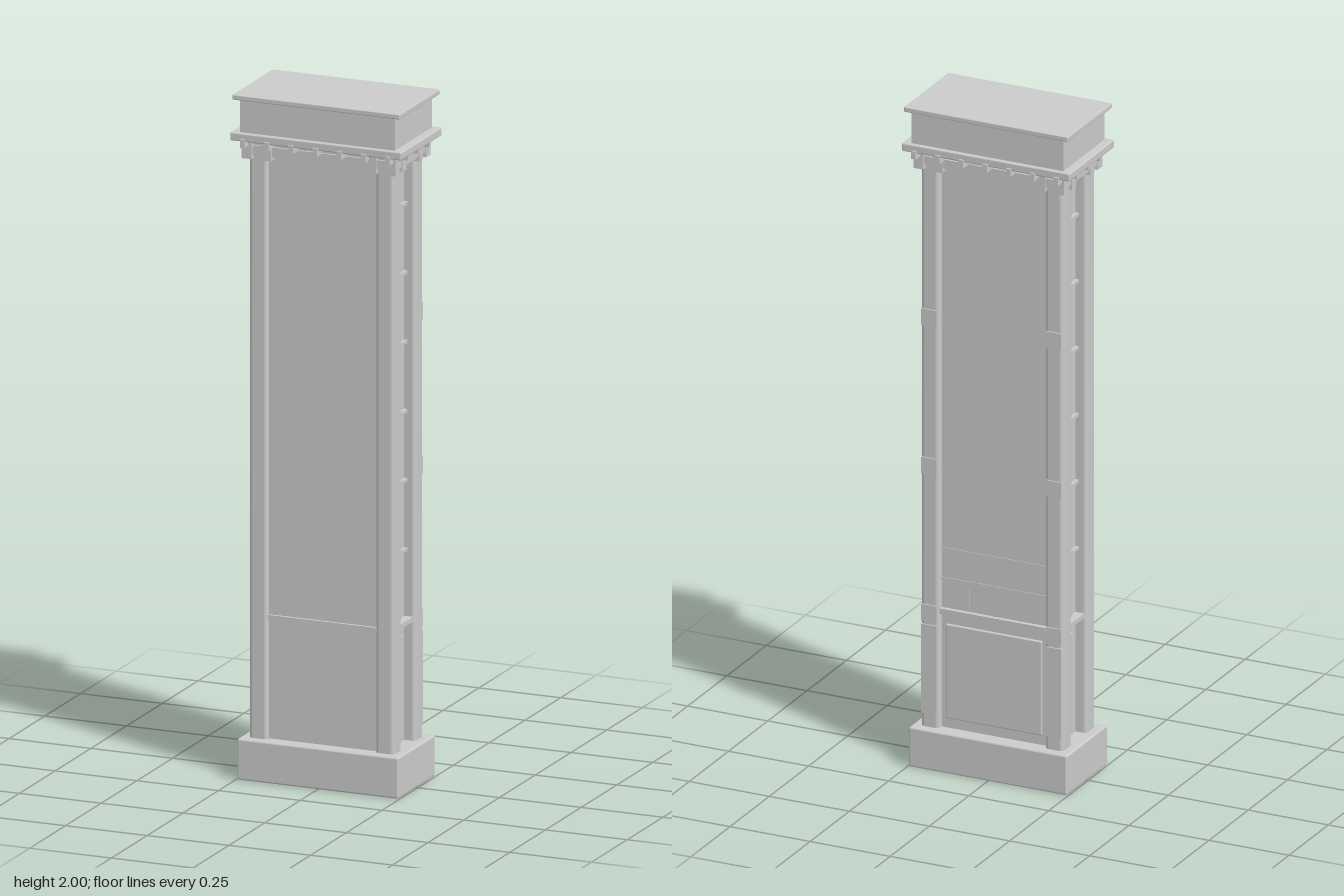
import * as THREE from 'three';
import { RoundedBoxGeometry } from 'three/addons/geometries/RoundedBoxGeometry.js';

export function createModel() {
  const model = new THREE.Group();
  const material = new THREE.MeshStandardMaterial({ color: 0xcccccc });

  const add = (name, geometry, x, y, z) => {
    const mesh = new THREE.Mesh(geometry, material);
    mesh.name = name;
    mesh.position.set(x, y, z);
    model.add(mesh);
    return mesh;
  };
  // Box given by its width, bottom, top, depth and centre
  const box = (name, w, y0, y1, d, x = 0, z = 0, r = 0) => add(
    name,
    r ? new RoundedBoxGeometry(w, y1 - y0, d, 2, r) : new THREE.BoxGeometry(w, y1 - y0, d),
    x, (y0 + y1) / 2, z);

  // Plinth
  box('plinth', 0.494, 0, 0.12, 0.26, 0, 0, 0.006);

  // Rounded-square column shaft
  const h = 0.0285, r = 0.012;
  const section = new THREE.Shape();
  section.moveTo(-h + r, -h);
  section.lineTo(h - r, -h);
  section.absarc(h - r, -h + r, r, -Math.PI / 2, 0);
  section.absarc(h - r, h - r, r, 0, Math.PI / 2);
  section.absarc(-h + r, h - r, r, Math.PI / 2, Math.PI);
  section.absarc(-h + r, -h + r, r, Math.PI, Math.PI * 1.5);
  const shaft = new THREE.ExtrudeGeometry(section, { depth: 1.71, bevelEnabled: false, curveSegments: 5 });
  shaft.rotateX(-Math.PI / 2);

  for (const sx of [-1, 1]) {
    for (const sz of [-1, 1]) {
      add('cornerColumn', shaft, sx * 0.1935, 0.115, sz * 0.0755);
      // Stepped capital
      box('capital', 0.03, 1.812, 1.862, 0.03, sx * 0.22, sz * 0.107);
      box('capitalFrontBlock', 0.03, 1.812, 1.862, 0.03, sx * 0.16, sz * 0.107);
      box('capitalSideBlock', 0.03, 1.812, 1.862, 0.026, sx * 0.22, sz * 0.059);
    }
    // Plates on the rear of the columns
    for (const [y0, y1] of [[0.16, 0.43], [0.44, 0.49], [0.885, 0.935], [1.335, 1.385]])
      box('rearColumnPlate', 0.048, y0, y1, 0.02, sx * 0.195, -0.098);
  }

  // Main body between the columns
  box('bodyPanel', 0.34, 0.115, 1.83, 0.175, 0, 0.0025);
  box('frontRail', 0.33, 0.47, 0.482, 0.01, 0, 0.093);

  // Narrow sides: recessed panel, ledge, lower inset and rungs
  for (const s of [-1, 1]) {
    box('sidePanel', 0.03, 0.115, 1.83, 0.1, s * 0.173);
    box('sideLedge', 0.04, 0.468, 0.482, 0.094, s * 0.195);
    box('sideInsetPanel', 0.01, 0.16, 0.43, 0.05, s * 0.188);
    box('sideMullion', 0.012, 0.48, 1.82, 0.012, s * 0.19);
    for (let i = 1; i <= 6; i++) {
      const y = 0.475 + i * 0.202;
      box('sideRung', 0.016, y - 0.005, y + 0.005, 0.094, s * 0.19);
    }
  }

  // Rear: lower door, sill and low lattice
  box('rearDoor', 0.3, 0.15, 0.435, 0.012, 0, -0.086, 0.004);
  box('rearSill', 0.33, 0.465, 0.482, 0.02, 0, -0.088);
  for (const y of [0.57, 0.66]) box('rearLatticeBar', 0.33, y - 0.004, y + 0.004, 0.006, 0, -0.084);
  for (const [x, top] of [[0.08, 0.55], [0, 0.73], [-0.08, 0.73]])
    box('rearLatticePost', 0.006, 0.48, top, 0.006, x, -0.084);

  // Entablature
  box('architrave', 0.452, 1.82, 1.87, 0.222);
  box('frieze', 0.464, 1.826, 1.852, 0.234);
  box('cornice', 0.524, 1.866, 1.89, 0.286, 0, 0, 0.004);

  // Small dentils under and just past the cornice, front, rear and sides
  for (let i = -3; i <= 3; i++)
    for (const s of [-1, 1]) box('dentil', 0.014, 1.85, 1.874, 0.036, i * 0.074, s * 0.131);
  for (let i = -1; i <= 1; i++)
    for (const s of [-1, 1]) box('sideDentil', 0.03, 1.85, 1.87, 0.014, s * 0.24, i * 0.074);

  // Attic block and cap
  box('attic', 0.474, 1.888, 1.988, 0.262);
  box('cap', 0.512, 1.985, 2.0, 0.284, 0, 0, 0.003);

  return model;
}
